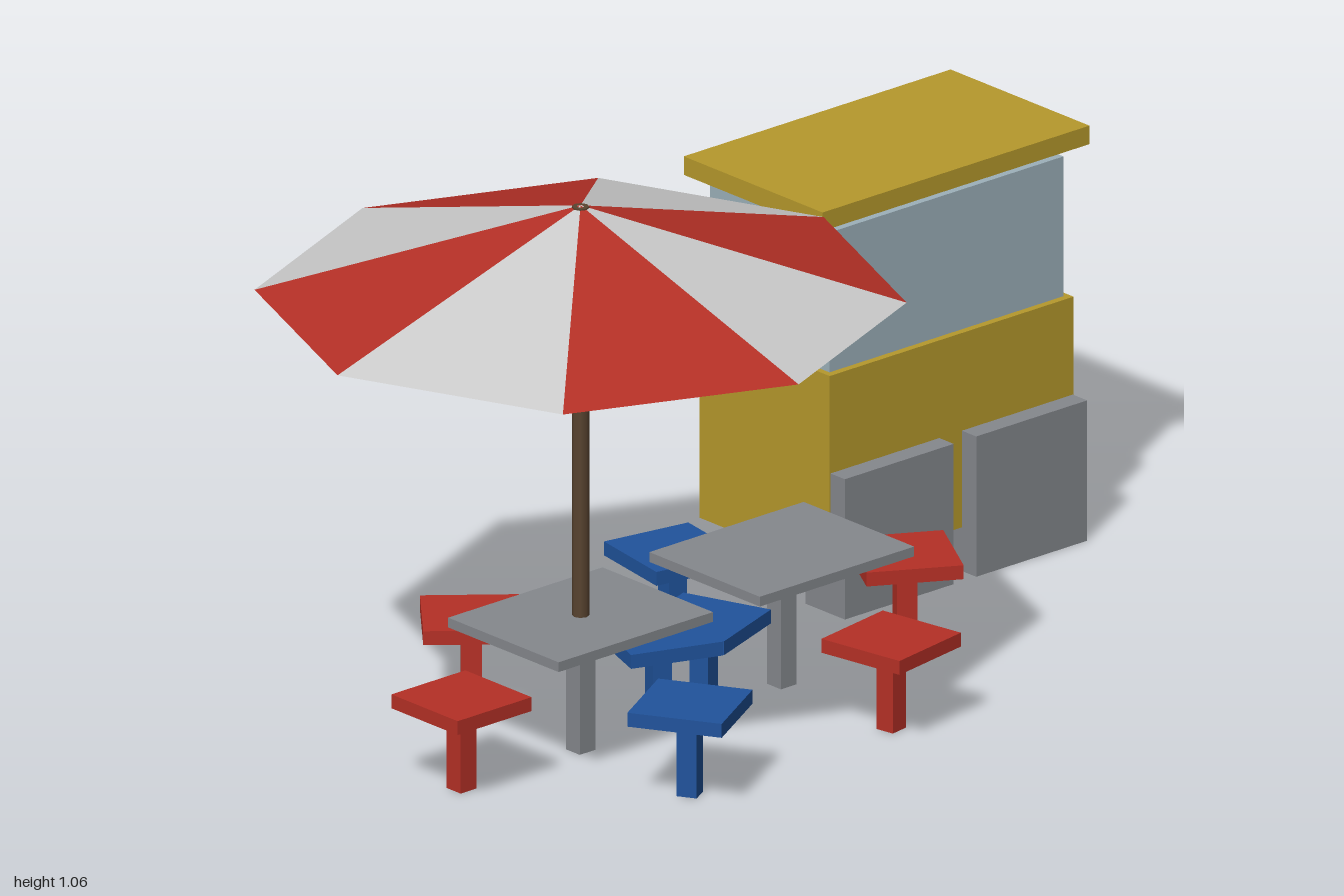
import * as THREE from 'three';

const paint = (name, color, side = THREE.FrontSide) => {
  const m = new THREE.MeshStandardMaterial({ color, side });
  m.name = name;
  return m;
};

export function createModel() {
  const red = paint('red', 0xb53026, THREE.DoubleSide);
  const white = paint('white', 0xcbcbcb, THREE.DoubleSide);
  const blue = paint('blue', 0x20539c);
  const grey = paint('grey', 0x85888d);
  const yellow = paint('yellow', 0xb6992c);
  const glass = paint('glass', 0x9db1ba);
  const brown = paint('brown', 0x594430);

  const model = new THREE.Group();
  model.name = 'cafeTerrace';

  const add = (parent, name, geometry, material, x = 0, y = 0, z = 0) => {
    const mesh = new THREE.Mesh(geometry, material);
    mesh.name = name;
    mesh.position.set(x, y, z);
    parent.add(mesh);
    return mesh;
  };

  // Box given by its minimum and maximum along each axis
  const box = (parent, name, material, [x0, x1], [y0, y1], [z0, z1]) =>
    add(parent, name, new THREE.BoxGeometry(x1 - x0, y1 - y0, z1 - z0), material,
      (x0 + x1) / 2, (y0 + y1) / 2, (z0 + z1) / 2);

  const group = (name, x, z, turn = 0) => {
    const g = new THREE.Group();
    g.name = name;
    g.position.set(x, 0, z);
    g.rotation.y = THREE.MathUtils.degToRad(turn);
    model.add(g);
    return g;
  };

  // Tables
  for (const x of [-0.41, 0.08]) {
    const table = group('table', x, 0);
    box(table, 'tableTop', grey, [-0.188, 0.188], [0.243, 0.262], [-0.15, 0.15]);
    box(table, 'tableLeg', grey, [-0.019, 0.019], [0, 0.245], [-0.019, 0.019]);
  }

  // Stools, each turned a little further than the last
  const stools = [
    [red, -0.70, 0], [red, -0.41, -0.297], [red, 0.08, 0.297], [red, 0.38, 0],
    [blue, -0.11, 0], [blue, -0.22, 0], [blue, -0.41, 0.297], [blue, 0.08, -0.297],
  ];
  stools.forEach(([material, x, z], i) => {
    const stool = group('stool', x, z, i * 50);
    box(stool, 'seat', material, [-0.09, 0.09], [0.153, 0.18], [-0.09, 0.09]);
    box(stool, 'stoolLeg', material, [-0.019, 0.019], [0, 0.155], [-0.019, 0.019]);
  });

  // Parasol: pole and eight alternating open panels
  const parasol = group('parasol', -0.41, 0);
  add(parasol, 'pole', new THREE.CylinderGeometry(0.016, 0.016, 0.807, 8), brown, 0, 0.6535, 0);
  for (let i = 0; i < 8; i++) {
    const panel = new THREE.ConeGeometry(0.592, 0.177, 1, 1, true, i * Math.PI / 4, Math.PI / 4)
      .toNonIndexed();
    panel.computeVertexNormals();
    add(parasol, 'canopyPanel', panel, i % 2 ? red : white, 0, 0.9705, 0);
  }

  // Kiosk with windows, roof and two front counters
  const kiosk = group('kiosk', 0, 0);
  box(kiosk, 'kioskBody', yellow, [0.378, 0.972], [0.085, 0.463], [-0.556, -0.202]);
  box(kiosk, 'windows', glass, [0.39, 0.96], [0.46, 0.735], [-0.54, -0.216]);
  box(kiosk, 'roof', yellow, [0.35, 1.0], [0.756, 0.792], [-0.567, -0.19]);
  for (const span of [[0.38, 0.645], [0.70, 0.97]])
    box(kiosk, 'counter', grey, span, [0, 0.273], [-0.27, -0.163]);

  return model;
}
